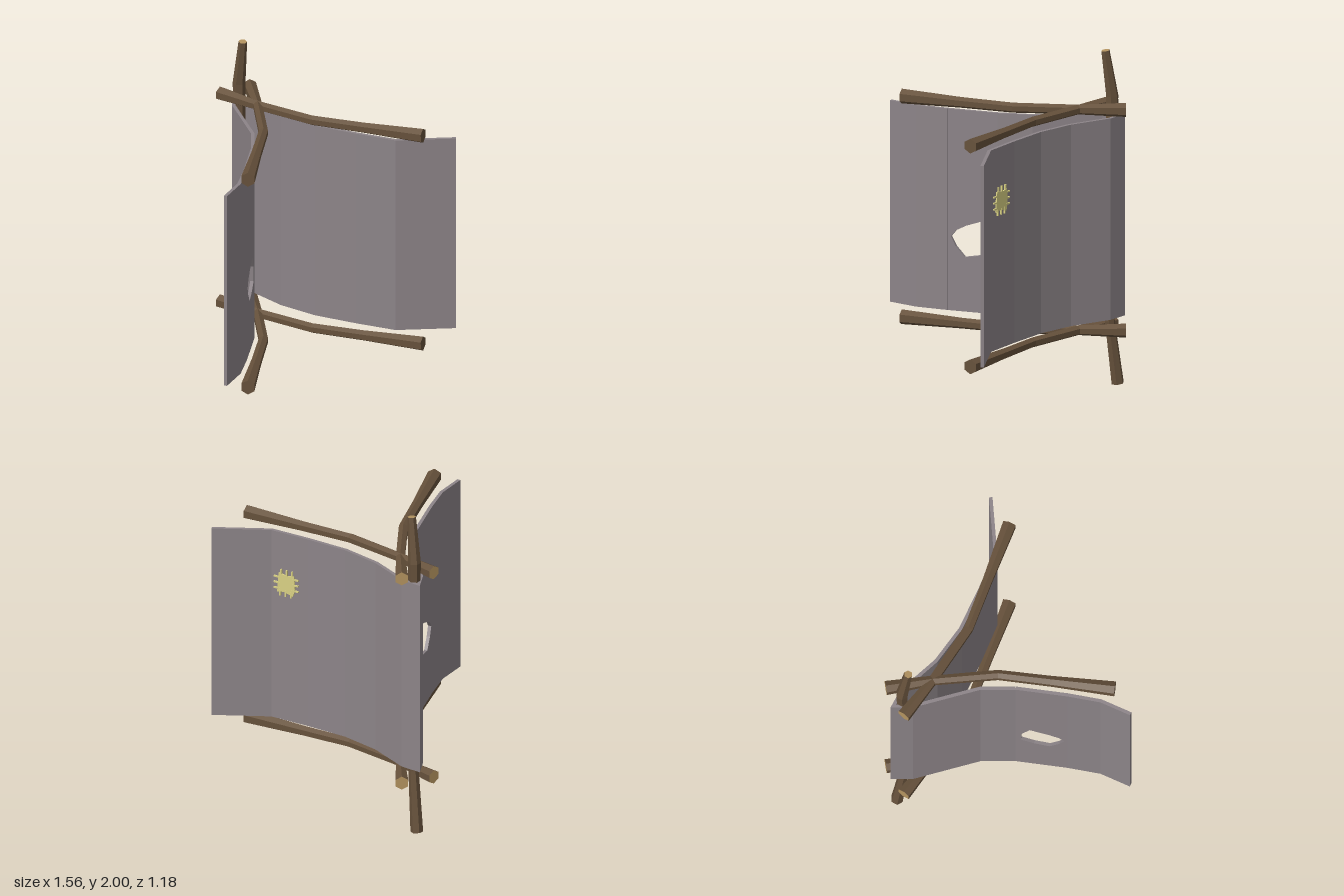
import * as THREE from 'three';

const mat = (color) => new THREE.MeshStandardMaterial({ color, flatShading: true, roughness: 1, side: THREE.DoubleSide });
const wood = mat(0x66513b), cutWood = mat(0xb3935f), clothMat = mat(0x8c8488), patchMat = mat(0xd9d184);
const BOTTOM = 0.405, TOP = 1.605, THICK = 0.02, AXIS = -0.03;

function add(group, name, geometry, material) {
  const mesh = new THREE.Mesh(geometry, material);
  mesh.name = name;
  group.add(mesh);
  return mesh;
}

function triangles(points) {
  const g = new THREE.BufferGeometry().setFromPoints(points);
  g.computeVertexNormals();
  return g;
}

// Six-sided branch through stations [x, y, z, radius]; the far end shows cut wood
function branch(name, stations, ref) {
  const group = new THREE.Group();
  group.name = name;
  const centres = stations.map(([x, y, z]) => new THREE.Vector3(x, y, z));
  const last = centres.length - 1;
  const rings = centres.map((c, i) => {
    const t = centres[Math.min(i + 1, last)].clone().sub(centres[Math.max(i - 1, 0)]).normalize();
    const u = ref.clone().addScaledVector(t, -ref.dot(t)).normalize();
    const v = t.clone().cross(u);
    return Array.from({ length: 6 }, (_, j) => {
      const a = j * Math.PI / 3, r = stations[i][3];
      return c.clone().addScaledVector(u, r * Math.cos(a)).addScaledVector(v, r * Math.sin(a));
    });
  });
  const body = [], cap = [];
  for (let j = 0; j < 6; j++) {
    const k = (j + 1) % 6;
    for (let i = 0; i < last; i++) {
      const a = rings[i][j], b = rings[i][k], c = rings[i + 1][k], d = rings[i + 1][j];
      body.push(a, b, c, a, c, d);
    }
    body.push(centres[0], rings[0][k], rings[0][j]);
    cap.push(centres[last], rings[last][j], rings[last][k]);
  }
  add(group, 'bark', triangles(body), wood);
  add(group, 'cutEnd', triangles(cap), cutWood);
  return group;
}

// Folded strip of cloth along a plan path of [x, z], with mitred corners
function foldedCloth(path) {
  const p = path.map(([x, z]) => new THREE.Vector2(x, -z));
  const normal = (a, b) => new THREE.Vector2(a.y - b.y, b.x - a.x).normalize();
  const inner = [], outer = [];
  p.forEach((q, i) => {
    const n0 = normal(p[Math.max(i - 1, 0)], p[Math.max(i, 1)]);
    const n1 = i < p.length - 1 ? normal(q, p[i + 1]) : n0;
    const m = n0.clone().add(n1).normalize();
    m.multiplyScalar(THICK / 2 / m.dot(n0));
    inner.push(q.clone().add(m));
    outer.unshift(q.clone().sub(m));
  });
  const g = new THREE.ExtrudeGeometry(new THREE.Shape([...inner, ...outer]), { depth: TOP - BOTTOM, bevelEnabled: false });
  return g.rotateX(-Math.PI / 2).translate(0, BOTTOM, 0);
}

// Stand a flat piece, drawn in (distance, height), on the plan line from a to b
const onLine = (g, a, b) => g.rotateY(Math.atan2(a[1] - b[1], b[0] - a[0])).translate(a[0], 0, a[1]);

export function createModel() {
  const model = new THREE.Group();
  model.name = 'clothShelter';

  // Upright pole
  model.add(branch('uprightPole', [
    [AXIS, 0.005, -0.55, 0.037], [AXIS, 0.38, -0.502, 0.03], [AXIS, 1.0, -0.5, 0.028],
    [AXIS, 1.72, -0.517, 0.037], [AXIS, 1.995, -0.475, 0.025],
  ], new THREE.Vector3(0, 0, -1)));

  // Two pairs of crossing rails, mirrored about the pole
  for (const [level, y] of [['lower', 0.342], ['upper', 1.657]]) {
    for (const [sideName, s] of [['Left', 1], ['Right', -1]]) {
      model.add(branch(level + 'Rail' + sideName, [
        [AXIS + s * 0.588, y + 0.01, 0.56, 0.044], [AXIS + s * 0.36, y + 0.004, 0.275, 0.032],
        [AXIS + s * 0.165, y, 0.03, 0.03], [AXIS, y, -0.31, 0.029], [AXIS - s * 0.1, y, -0.565, 0.042],
      ], new THREE.Vector3(0, 1, 0)));
    }
  }

  // Cloth: outer right flap, torn panel, then the long fold around the pole
  const tornStart = [-0.49, 0.32], tornEnd = [-0.3, 0.085];
  const patchStart = [0.465, 0.41], patchEnd = [0.32, 0.215];
  add(model, 'clothRightFlap', foldedCloth([[-0.775, 0.57], [-0.62, 0.465], tornStart]), clothMat);
  add(model, 'clothMain', foldedCloth([
    tornEnd, [-0.195, -0.09], [-0.14, -0.29], [-0.088, -0.48], [AXIS, -0.575],
    [0.027, -0.48], [0.08, -0.22], [0.175, 0], patchEnd, patchStart, [0.775, 0.565],
  ]), clothMat);

  // Torn panel with a ragged hole, outlined as [x, y]
  const dx = tornEnd[0] - tornStart[0], length = Math.hypot(dx, tornEnd[1] - tornStart[1]);
  const panel = new THREE.Shape([[0, BOTTOM], [length, BOTTOM], [length, TOP], [0, TOP]].map((q) => new THREE.Vector2(...q)));
  const tear = [[-0.478, 0.845], [-0.458, 0.885], [-0.42, 0.917], [-0.352, 0.955], [-0.32, 0.87],
    [-0.32, 0.778], [-0.368, 0.745], [-0.425, 0.728], [-0.46, 0.79]];
  panel.holes.push(new THREE.Path(tear.map(([x, y]) => new THREE.Vector2((x - tornStart[0]) / dx * length, y))));
  const torn = new THREE.ExtrudeGeometry(panel, { depth: THICK, bevelEnabled: false }).translate(0, 0, -THICK / 2);
  add(model, 'clothTornPanel', onLine(torn, tornStart, tornEnd), clothMat);

  // Sewn patch with stitches on the outside of the left wing
  const patch = new THREE.Group();
  patch.name = 'patch';
  const outline = [[0.045, 1.225], [0.09, 1.232], [0.15, 1.215], [0.163, 1.26], [0.157, 1.345],
    [0.11, 1.337], [0.055, 1.347], [0.05, 1.29]].map((q) => new THREE.Vector2(...q));
  const square = new THREE.ExtrudeGeometry(new THREE.Shape(outline), { depth: 0.008, bevelEnabled: false });
  add(patch, 'patchCloth', onLine(square.translate(0, 0, THICK / 2), patchStart, patchEnd), patchMat);
  const stitch = (s, y, w, h) => add(patch, 'stitch',
    onLine(new THREE.BoxGeometry(w, h, 0.01).translate(s, y, THICK / 2 + 0.004), patchStart, patchEnd), patchMat);
  for (let i = 0; i < 3; i++) {
    const o = (i - 1) * 0.036;
    stitch(0.107 + o, 1.35, 0.009, 0.045);
    stitch(0.1 + o, 1.222, 0.009, 0.04);
    stitch(0.045, 1.283 + o, 0.045, 0.009);
    stitch(0.163, 1.288 + o, 0.045, 0.009);
  }
  model.add(patch);

  return model;
}
